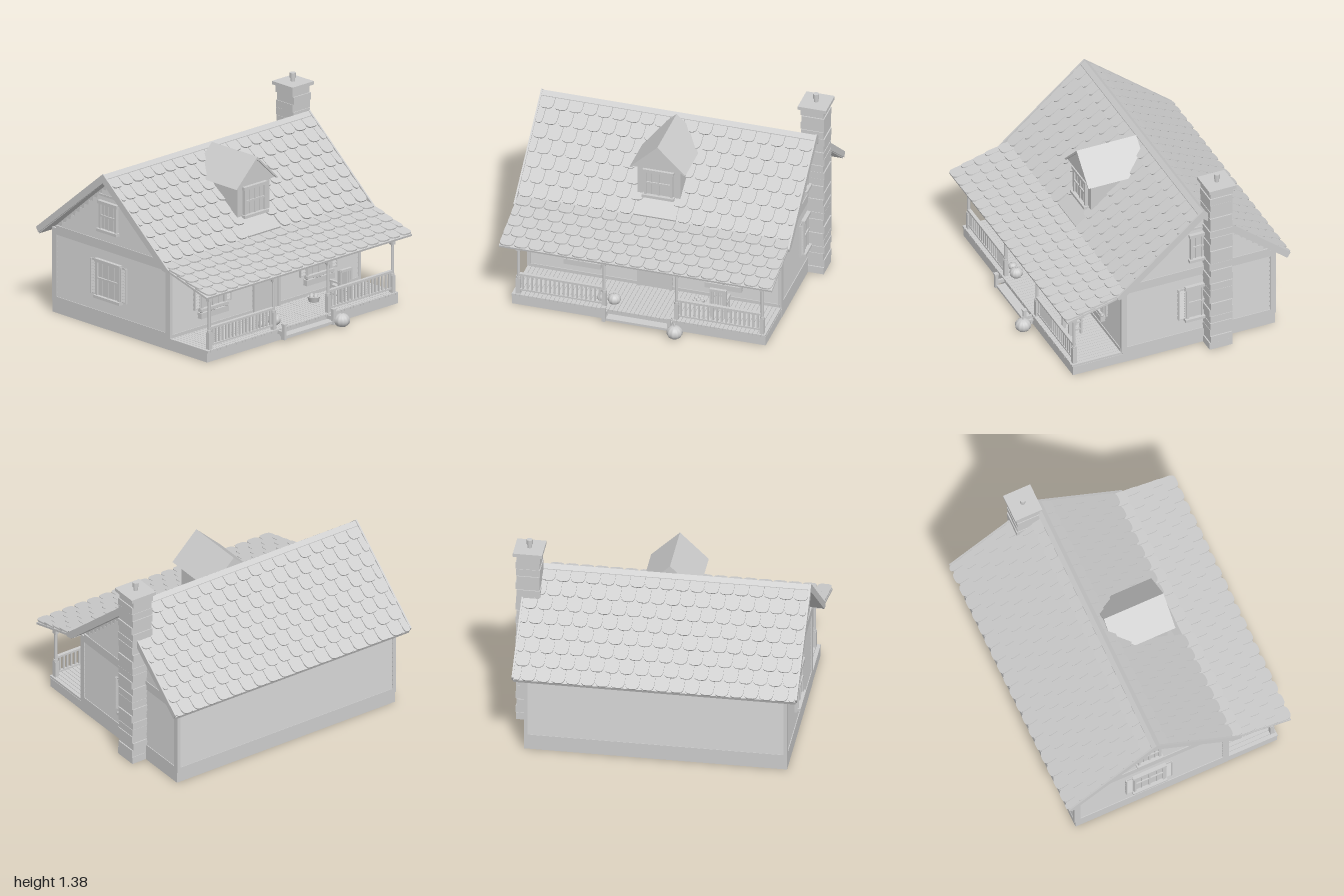
import * as THREE from 'three';
import { mergeGeometries } from 'three/addons/utils/BufferGeometryUtils.js';

const mat = new THREE.MeshStandardMaterial({ color: 0xcccccc });
mat.name = 'plain grey';

function add(parent, name, geos) {
  const list = [].concat(geos).map(g => (g.index ? g.toNonIndexed() : g));
  const m = new THREE.Mesh(list.length > 1 ? mergeGeometries(list) : list[0], mat);
  m.name = name;
  parent.add(m);
  return m;
}
// Box given by its limits
const box = (x0, x1, y0, y1, z0, z1) =>
  new THREE.BoxGeometry(x1 - x0, y1 - y0, z1 - z0).translate((x0 + x1) / 2, (y0 + y1) / 2, (z0 + z1) / 2);
const shapeOf = pts => new THREE.Shape(pts.map(p => new THREE.Vector2(...p)));
const extrude = (shape, depth) => new THREE.ExtrudeGeometry(shape, { depth, bevelEnabled: false, curveSegments: 6 });
// Profile of [z, y] points swept from x0 to x1
const sweepX = (pts, x0, x1) => extrude(shapeOf(pts), x1 - x0).rotateY(-Math.PI / 2).translate(x1, 0, 0);
const cyl = (r0, r1, y0, y1, x, z, n = 10) =>
  new THREE.CylinderGeometry(r1, r0, y1 - y0, n).translate(x, (y0 + y1) / 2, z);

// Overlapping round-ended shingles on a slope running from a to b ([z, y])
function shingles(a, b, rows, skip = () => false) {
  const cols = 19, x0 = -0.99, w = 1.92 / cols, out = [];
  const run = Math.hypot(b[0] - a[0], b[1] - a[1]), p = run / rows, L = p * 1.45;
  const u = new THREE.Vector3(0, (a[1] - b[1]) / run, (a[0] - b[0]) / run);
  const X = new THREE.Vector3(u.z < 0 ? 1 : -1, 0, 0), n = X.clone().cross(u);
  const h = w * 0.48, r = p * 0.5, s = new THREE.Shape();
  s.moveTo(-h, 0).lineTo(-h, r - L).bezierCurveTo(-h, -L, -h * 0.5, -L, 0, -L)
    .bezierCurveTo(h * 0.5, -L, h, -L, h, r - L).lineTo(h, 0);
  const tile = extrude(s, 0.011).rotateX(-0.1);
  for (let i = 0; i < rows; i++) {
    const d = Math.max((i + 1) * p + 0.008 - L, -0.01);
    for (let j = 0; j < cols + (i % 2); j++) {
      const edge = i % 2 && (j === 0 || j === cols);
      let x = x0 + w * (i % 2 ? j : j + 0.5);
      if (edge) x += j ? -w / 4 : w / 4;
      const y = a[1] - u.y * d, z = a[0] - u.z * d;
      if (skip(x, z)) continue;
      const m = new THREE.Matrix4().makeBasis(X, u, n).setPosition(x, y, z);
      out.push(tile.clone().scale(edge ? 0.5 : 1, i ? 1 : 0.78, 1).applyMatrix4(m));
    }
  }
  return out;
}

// Lapped boards facing +z; span(y) gives the [left, right] ends of each board
function siding(y0, y1, span) {
  const out = [], h = 0.036;
  for (let y = y0; y < y1 - 0.02; y += h) {
    const [l, r] = span(y + h);
    if (r - l < 0.03) continue;
    out.push(sweepX([[0, y], [0.007, y], [0.001, y + h], [0, y + h]], l, r));
  }
  return out;
}

// Window facing +z, with its sill at the origin
function makeWindow(w, h, shutters) {
  const g = new THREE.Group(), t = 0.016, a = w / 2;
  g.name = 'window';
  add(g, 'glass', box(-a, a, 0, h, 0.004, 0.01));
  add(g, 'frame', [box(-a, -a + t, 0, h, 0, 0.022), box(a - t, a, 0, h, 0, 0.022),
    box(-a - 0.008, a + 0.008, h - t, h + 0.006, 0, 0.028), box(-a - 0.012, a + 0.012, -0.012, 0.008, 0, 0.036)]);
  add(g, 'glazingBars', [box(-0.005, 0.005, 0, h, 0.008, 0.018), box(-a, a, h / 2 - 0.006, h / 2 + 0.006, 0.008, 0.02),
    ...[-a / 2, a / 2].map(x => box(x - 0.002, x + 0.002, 0, h, 0.008, 0.014))]);
  if (shutters) for (const s of [-1, 1]) {
    const c = s * (a + 0.03), parts = [box(c - 0.026, c + 0.026, 0.005, h - 0.005, 0, 0.008)];
    for (const e of [-1, 1]) parts.push(box(c + e * 0.023 - 0.004, c + e * 0.023 + 0.004, 0.005, h - 0.005, 0, 0.018));
    for (let y = 0.015; y < h - 0.02; y += 0.021)
      parts.push(new THREE.BoxGeometry(0.044, 0.017, 0.004).rotateX(-0.4).translate(c, y + 0.008, 0.012));
    add(g, 'shutter', parts);
  }
  return g;
}

// Ribbed pumpkin with a stalk
function pumpkin(parent, x, y, z, r) {
  const g = new THREE.SphereGeometry(r, 40, 16), p = g.attributes.position;
  for (let i = 0; i < p.count; i++) {
    const k = 1 - 0.07 * Math.abs(Math.cos(Math.atan2(p.getZ(i), p.getX(i)) * 5));
    p.setXYZ(i, p.getX(i) * k, p.getY(i) * 0.85, p.getZ(i) * k);
  }
  g.computeVertexNormals();
  const m = add(parent, 'pumpkin', [g, cyl(0.009, 0.005, r * 0.75, r * 1.15, 0, 0, 6)]);
  m.position.set(x, y, z);
}

export function createModel() {
  const root = new THREE.Group();
  root.name = 'cottage';
  const L = -0.91, R = 0.855, F = 0.345, B = -0.775, MID = -0.215;

  // Open foundation ring with the floor above it
  const fl = L - 0.012, fr = R + 0.012, t = 0.015;
  add(root, 'foundation', [box(fl, fr, 0, 0.08, F - t, F + 0.003), box(fl, fr, 0, 0.08, B - 0.003, B + t),
    box(fl, fl + t, 0, 0.08, B, F), box(fr - t, fr, 0, 0.08, B, F)]);
  add(root, 'floor', box(fl + 0.002, fr - 0.002, 0.066, 0.08, B, F));

  // House body, siding and trim
  add(root, 'walls', sweepX([[B, 0.08], [F, 0.08], [F, 0.6], [MID, 1.07], [B, 0.6]], L, R));
  const rear = add(root, 'backSiding', siding(0.115, 0.56, () => [-R, -L]));
  rear.rotation.y = Math.PI;
  rear.position.z = B;
  add(root, 'frontSiding', siding(0.1, 0.56, () => [L, R])).position.z = F;
  for (const s of [-1, 1]) {
    const half = y => (y < 0.6 ? 0.53 : Math.min(0.53, 0.56 * (1.06 - y) / 0.47));
    const x = s > 0 ? R : L, e = (a, b, c, d) => box(x - 0.012, x + 0.012, a, b, c, d);
    const side = add(root, 'sideSiding', siding(0.115, 1.05, y => [-s * MID - half(y), -s * MID + half(y)]));
    side.rotation.y = s * Math.PI / 2;
    side.position.x = x;
    add(root, 'sideTrim', [e(0.08, 0.115, B, F), e(0.555, 0.62, B + 0.03, F - 0.03), e(0.08, 0.6, F - 0.032, F + 0.01),
      e(0.08, 0.6, B - 0.01, B + 0.032), e(0.935, 0.95, MID - 0.12, MID + 0.12)]);
    for (const [w, h, y, sh] of [[0.23, 0.26, 0.22, true], [0.17, 0.2, 0.7, false]]) {
      const win = makeWindow(w, h, sh);
      win.position.set(x + s * 0.004, y, -0.235);
      win.rotation.y = s * Math.PI / 2;
      root.add(win);
    }
  }
  add(root, 'wallTrim', [box(L, R, 0.08, 0.115, B - 0.01, B), box(L, R, 0.56, 0.6, B - 0.01, B),
    box(L, R, 0.08, 0.105, F, F + 0.012)]);

  // Main roof and porch roof
  const ridge = [MID, 1.1], eave = [0.345, 0.623], back = [-0.85, 0.577], lip = [0.783, 0.492];
  add(root, 'roofDeck', sweepX([back, [-0.84, 0.555], [MID, 1.065], [0.36, 0.585], eave, ridge], -0.99, 0.93));
  add(root, 'porchRoofDeck', sweepX([[0.34, 0.597], [0.78, 0.478], lip, [0.34, 0.612]], -0.99, 0.93));
  add(root, 'frontShingles', shingles(ridge, eave, 7, (x, z) => Math.abs(x + 0.03) < 0.14 && z > 0.05));
  add(root, 'backShingles', shingles(ridge, back, 8));
  add(root, 'porchShingles', shingles([0.34, 0.612], lip, 5));
  add(root, 'ridgeCap', sweepX([[MID - 0.03, 1.08], [MID, 1.105], [MID + 0.03, 1.08],
    [MID + 0.03, 1.1], [MID, 1.125], [MID - 0.03, 1.1]], -1, 0.94));
  for (const x of [-1, 0.928]) add(root, 'rakeBoard', sweepX([[-0.86, 0.6], [-0.838, 0.566], [MID, 1.065],
    [0.36, 0.585], [0.41, 0.575], [0.418, 0.598], [MID, 1.13]], x, x + 0.012));

  // Dormer
  const dormer = new THREE.Group();
  dormer.name = 'dormer';
  dormer.position.x = -0.03;
  root.add(dormer);
  add(dormer, 'dormerWalls', box(-0.15, 0.15, 0.7, 0.965, -0.1, 0.24));
  add(dormer, 'dormerGable', extrude(shapeOf([[-0.18, 0.957], [0.18, 0.957], [0, 1.128]]), 0.42).translate(0, 0, -0.155));
  add(dormer, 'dormerRoof', extrude(shapeOf([[-0.196, 0.955], [-0.18, 0.955], [0, 1.125], [0.18, 0.955],
    [0.196, 0.955], [0, 1.145]]), 0.44).translate(0, 0, -0.16));
  add(dormer, 'dormerApron', sweepX([[0.15, 0.78], [0.345, 0.617], [0.35, 0.634], [0.15, 0.806]], -0.15, 0.15));
  const dw = makeWindow(0.2, 0.2, false);
  dw.position.set(0, 0.74, 0.24);
  dormer.add(dw);

  // Chimney of uneven stone courses
  const stones = [box(0.82, 0.97, 0, 1.29, -0.41, -0.255)];
  for (let i = 0; i < 24; i++) {
    const y = i * 0.0538, a = 0.004 * Math.sin(i * 2.4), b = 0.004 * Math.cos(i * 3.7);
    stones.push(box(0.817 + b, 0.978 + a, y + 0.001, y + 0.0525, -0.414 + a, -0.25 + b));
  }
  add(root, 'chimney', stones);
  add(root, 'chimneyCap', box(0.798, 0.997, 1.29, 1.314, -0.435, -0.235));
  add(root, 'chimneyPot', [cyl(0.016, 0.016, 1.31, 1.35, 0.897, -0.335, 8), cyl(0.021, 0.021, 1.34, 1.375, 0.897, -0.335, 8)]);

  // Porch deck, open below, with skirt and step
  const planks = [];
  for (let i = 0; i < 60; i++) planks.push(box(-0.92 + i * 0.02975, -0.893 + i * 0.02975, 0.066, 0.081, F, 0.718));
  add(root, 'deckPlanks', planks);
  add(root, 'deckSkirt', [box(-0.92, 0.865, 0, 0.066, 0.7, 0.712), box(-0.92, -0.908, 0, 0.066, F, 0.7),
    box(0.853, 0.865, 0, 0.066, F, 0.7)]);
  add(root, 'step', [box(-0.24, 0.22, 0.028, 0.045, 0.71, 0.775), box(-0.23, 0.21, 0, 0.028, 0.71, 0.725)]);
  for (const x of [-0.255, 0.205]) add(root, 'stepPost', [box(x - 0.011, x + 0.011, 0.02, 0.12, 0.76, 0.782),
    box(x - 0.015, x + 0.015, 0.12, 0.132, 0.756, 0.786), box(x - 0.008, x + 0.008, 0.05, 0.075, 0.7, 0.765)]);

  // Posts, curved brackets and beam
  const Z = 0.69, xs = [-0.88, -0.278, 0.232, 0.835];
  xs.forEach((x, i) => {
    const parts = [cyl(0.011, 0.011, 0.08, 0.49, x, Z), box(x - 0.015, x + 0.015, 0.08, 0.2, Z - 0.015, Z + 0.015),
      box(x - 0.015, x + 0.015, 0.42, 0.49, Z - 0.015, Z + 0.015), cyl(0.016, 0.016, 0.2, 0.215, x, Z)];
    const arc = () => new THREE.TorusGeometry(0.085, 0.008, 4, 8, Math.PI / 2);
    if (i < 3) parts.push(arc().rotateZ(Math.PI / 2).translate(x + 0.085, 0.385, Z));
    if (i > 0) parts.push(arc().translate(x - 0.085, 0.385, Z));
    add(root, 'porchPost', parts);
  });
  add(root, 'porchBeam', box(-0.9, 0.855, 0.468, 0.498, Z - 0.015, Z + 0.015));
  for (const [a, b] of [[xs[0], xs[1]], [xs[2], xs[3]]]) {
    const rail = [box(a, b, 0.223, 0.238, Z - 0.012, Z + 0.012), box(a, b, 0.105, 0.117, Z - 0.009, Z + 0.009)];
    for (let i = 1; i < 19; i++) {
      const x = a + (b - a) * i / 19;
      rail.push(box(x - 0.006, x + 0.006, 0.11, 0.23, Z - 0.006, Z + 0.006));
    }
    add(root, 'railing', rail);
  }

  // Front door and windows
  add(root, 'door', [box(-0.125, 0.08, 0.08, 0.47, F, F + 0.016), box(-0.145, -0.125, 0.08, 0.49, F, F + 0.026),
    box(0.08, 0.1, 0.08, 0.49, F, F + 0.026), box(-0.145, 0.1, 0.47, 0.49, F, F + 0.026)]);
  add(root, 'doorKnob', new THREE.SphereGeometry(0.008, 10, 8).translate(0.12, 0.295, F + 0.016));
  for (const x of [-0.527, 0.463]) {
    const win = makeWindow(0.23, 0.27, true);
    win.position.set(x, 0.225, F + 0.004);
    root.add(win);
    add(root, 'planter', box(x - 0.13, x + 0.13, 0.165, 0.205, F, F + 0.04));
    const plants = [];
    for (let i = 0; i < 9; i++)
      plants.push(new THREE.IcosahedronGeometry(0.015 + 0.004 * Math.sin(i * 5), 0).translate(x - 0.115 + i * 0.029, 0.215, F + 0.024));
    add(root, 'flowers', plants);
  }

  // Porch chair, basket and pumpkins
  const cx = 0.493, chair = [box(cx - 0.055, cx + 0.055, 0.17, 0.184, 0.495, 0.595), box(cx - 0.05, cx + 0.05, 0.285, 0.303, 0.58, 0.602)];
  for (const s of [-1, 1]) {
    const x = cx + s * 0.05;
    chair.push(box(x - 0.008, x + 0.008, 0.081, 0.3, 0.575, 0.6), box(x - 0.007, x + 0.007, 0.081, 0.21, 0.498, 0.514),
      box(x - 0.009, x + 0.009, 0.205, 0.217, 0.49, 0.598), box(x - 0.004, x + 0.004, 0.115, 0.125, 0.5, 0.59));
  }
  for (let i = -2; i <= 2; i++) chair.push(box(cx + i * 0.018 - 0.006, cx + i * 0.018 + 0.006, 0.18, 0.29, 0.584, 0.594));
  add(root, 'chair', chair);
  add(root, 'basket', [cyl(0.034, 0.045, 0.081, 0.118, 0.32, 0.462, 12),
    ...[0, 1, 2, 3].map(i => new THREE.SphereGeometry(0.016, 8, 6).translate(0.32 + 0.02 * Math.cos(i * 1.57), 0.118, 0.462 + 0.02 * Math.sin(i * 1.57)))]);
  pumpkin(root, 0.253, 0.047, 0.803, 0.056);
  pumpkin(root, -0.222, 0.122, 0.638, 0.046);
  pumpkin(root, -0.32, 0.108, 0.62, 0.03);
  return root;
}
